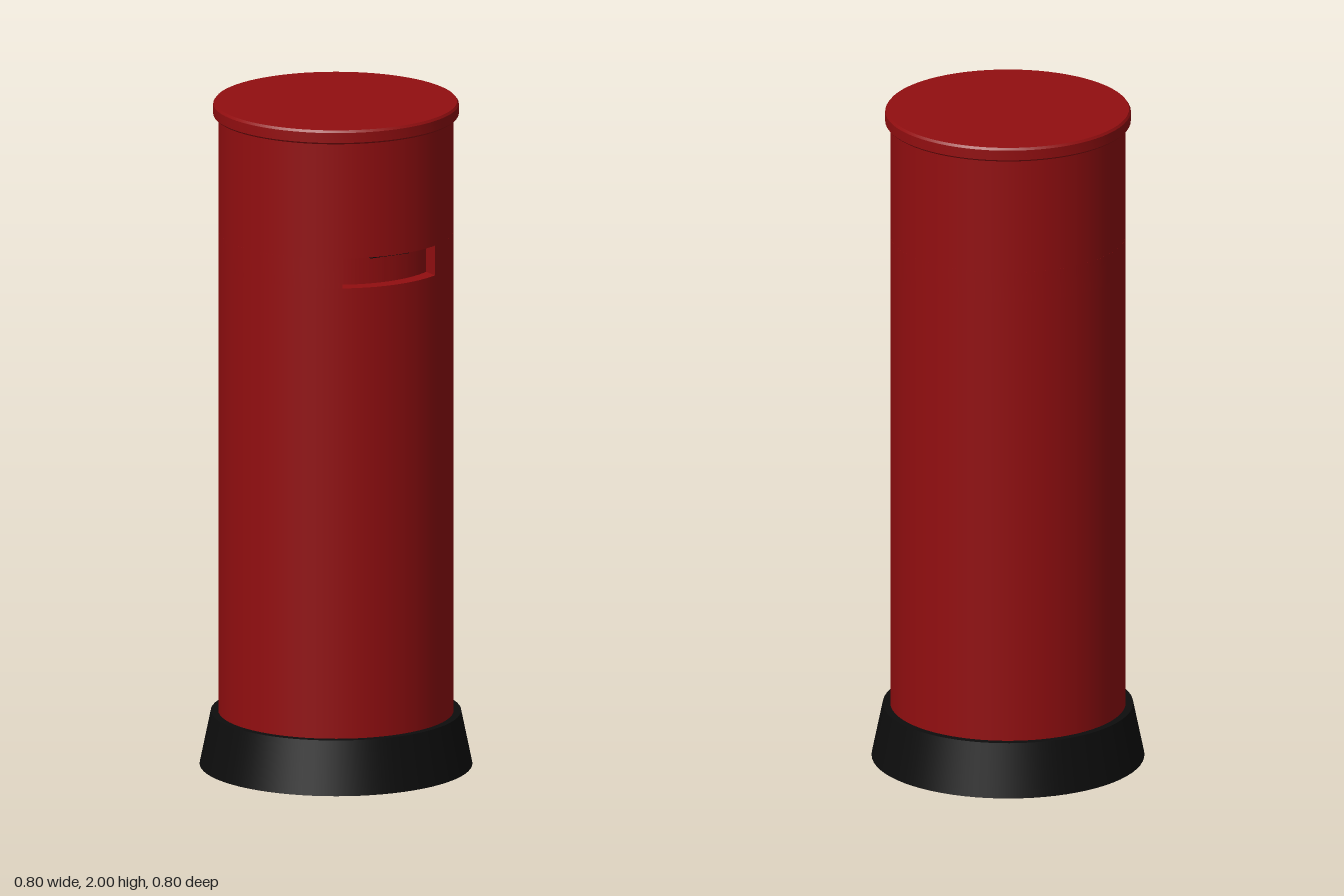
import * as THREE from 'three';
import { toCreasedNormals } from 'three/addons/utils/BufferGeometryUtils.js';

const SEG = 72;
const R = 0.345;          // body radius
const R_BACK = 0.3;       // radius of the recess back wall
const HALF_W = 0.157;     // half width of the letter recess
const Y0 = 1.52, Y1 = 1.61;

export function createModel() {
  const group = new THREE.Group();
  const red = new THREE.MeshStandardMaterial({ color: 0x920e10 });
  red.name = 'pillar red';
  const black = new THREE.MeshStandardMaterial({ color: 0x0d0d0d });
  black.name = 'base black';

  const add = (name, geometry, material) => {
    const mesh = new THREE.Mesh(geometry, material);
    mesh.name = name;
    group.add(mesh);
    return mesh;
  };
  const drum = (name, rTop, rBottom, y0, y1, material) => {
    const mesh = add(name, new THREE.CylinderGeometry(rTop, rBottom, y1 - y0, SEG), material);
    mesh.position.y = (y0 + y1) / 2;
    return mesh;
  };

  // Flared base and plain body sections
  drum('base', 0.367, 0.4, 0, 0.16, black);
  drum('lowerBody', R, R, 0.16, Y0, red);
  drum('upperBody', R, R, Y1, 1.965, red);

  // Body band with the letter recess cut into the front
  const front = Math.PI * 1.5;
  const a = Math.asin(HALF_W / R);
  const b = Math.asin(HALF_W / R_BACK);
  const band = new THREE.Shape();
  band.absarc(0, 0, R, front - Math.PI * 2 + a, front - a, false);
  band.absarc(0, 0, R_BACK, front - b, front + b, false);
  const bandGeometry = new THREE.ExtrudeGeometry(band, {
    depth: Y1 - Y0, bevelEnabled: false, curveSegments: SEG,
  });
  bandGeometry.rotateX(-Math.PI / 2);
  bandGeometry.translate(0, Y0, 0);
  add('slotBand', toCreasedNormals(bandGeometry, 0.5), red);

  // Dark letter slit along the top of the recess
  const slit = add('letterSlit', new THREE.BoxGeometry(0.13, 0.009, 0.03), black);
  slit.position.set(0, Y1 - 0.005, 0.3);

  // Lid with narrow chamfers
  const lidProfile = [
    [0, 1.958], [0.355, 1.958], [0.36, 1.963], [0.36, 1.993], [0.355, 2], [0, 2],
  ].map(([x, y]) => new THREE.Vector2(x, y));
  add('lid', toCreasedNormals(new THREE.LatheGeometry(lidProfile, SEG), 0.5), red);

  return group;
}
